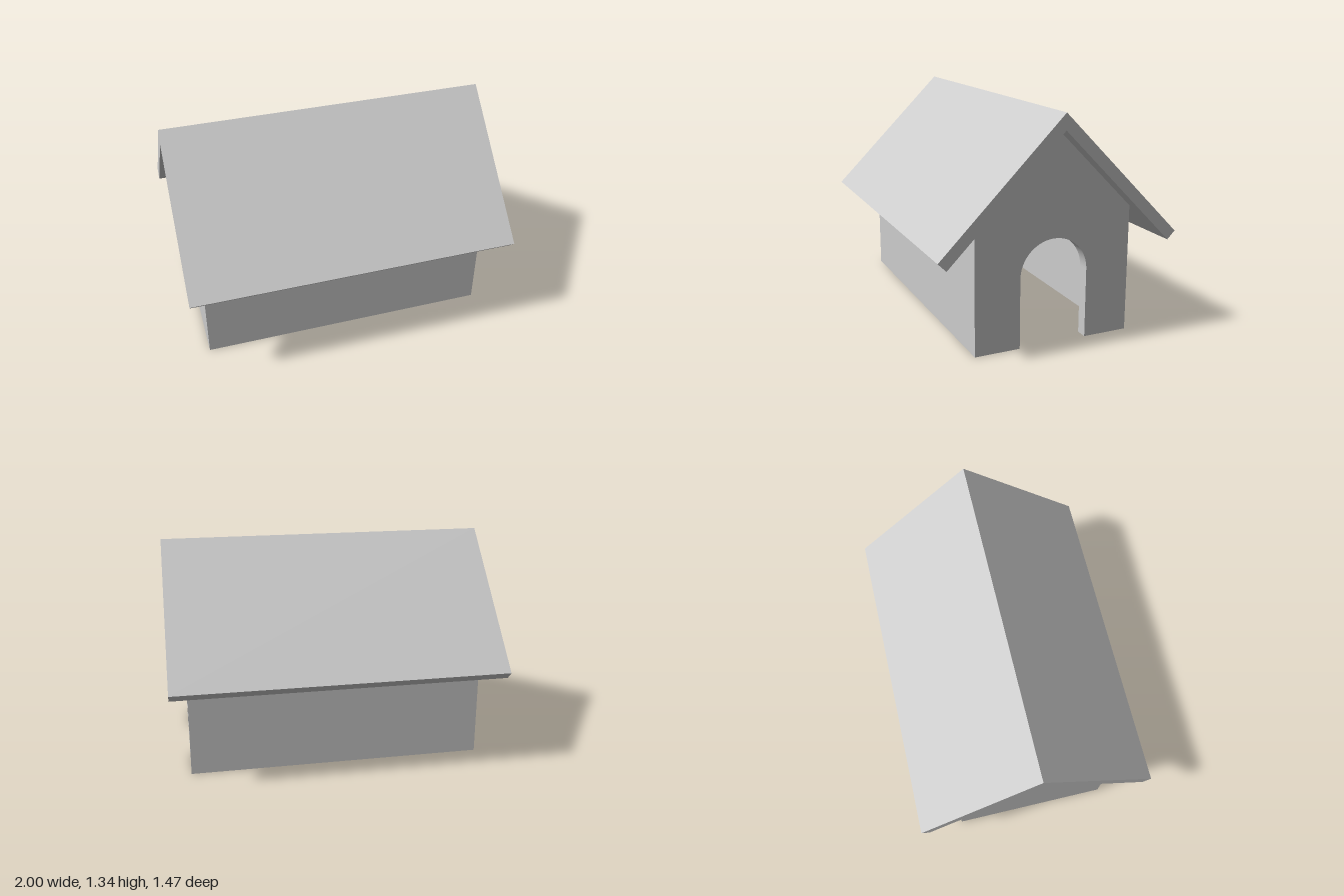
import * as THREE from 'three';

const HALF_LENGTH = 0.895, HALF_WIDTH = 0.485, WALL = 0.07;
const EAVE = 0.763, RIDGE = 1.247; // underside of the roof at the wall and at the ridge
const DOOR_RADIUS = 0.21, DOOR_SPRING = 0.415;

export function createModel() {
  const house = new THREE.Group();
  house.name = 'gabledHouse';
  const material = new THREE.MeshStandardMaterial({ color: 0xcccccc, flatShading: true });

  // Extrudes a z-y profile along x, from x0 to x1
  function addProfile(name, shape, x0, x1) {
    const geometry = new THREE.ExtrudeGeometry(shape, {
      depth: x1 - x0, bevelEnabled: false, curveSegments: 32,
    });
    geometry.rotateY(Math.PI / 2).translate(x0, 0, 0);
    const mesh = new THREE.Mesh(geometry, material);
    mesh.name = name;
    house.add(mesh);
  }
  const polygon = (points) => new THREE.Shape(points.map(([u, y]) => new THREE.Vector2(u, y)));

  // Closed gable wall
  const gable = [[HALF_WIDTH, 0], [HALF_WIDTH, EAVE], [0, RIDGE], [-HALF_WIDTH, EAVE], [-HALF_WIDTH, 0]];
  addProfile('closedGableWall', polygon(gable), -HALF_LENGTH, -HALF_LENGTH + WALL);

  // Gable wall with an arched doorway open at the ground
  const doorGable = polygon(gable);
  doorGable.lineTo(-DOOR_RADIUS, 0);
  doorGable.lineTo(-DOOR_RADIUS, DOOR_SPRING);
  doorGable.absarc(0, DOOR_SPRING, DOOR_RADIUS, Math.PI, 0, true);
  doorGable.lineTo(DOOR_RADIUS, 0);
  doorGable.closePath();
  addProfile('doorGableWall', doorGable, HALF_LENGTH - WALL, HALF_LENGTH);

  // Long side walls, tops sloped to meet the roof
  for (const [name, s] of [['frontWall', -1], ['backWall', 1]]) {
    const inner = HALF_WIDTH - WALL;
    addProfile(name, polygon([
      [s * inner, 0], [s * HALF_WIDTH, 0], [s * HALF_WIDTH, EAVE], [s * inner, EAVE + WALL],
    ]), -HALF_LENGTH + WALL, HALF_LENGTH - WALL);
  }

  // Pitched roof with overhanging eaves
  addProfile('roof', polygon([
    [0, 1.343], [-0.733, 0.61], [-0.685, 0.562], [0, RIDGE], [0.685, 0.562], [0.733, 0.61],
  ]), -1, 1);

  return house;
}
